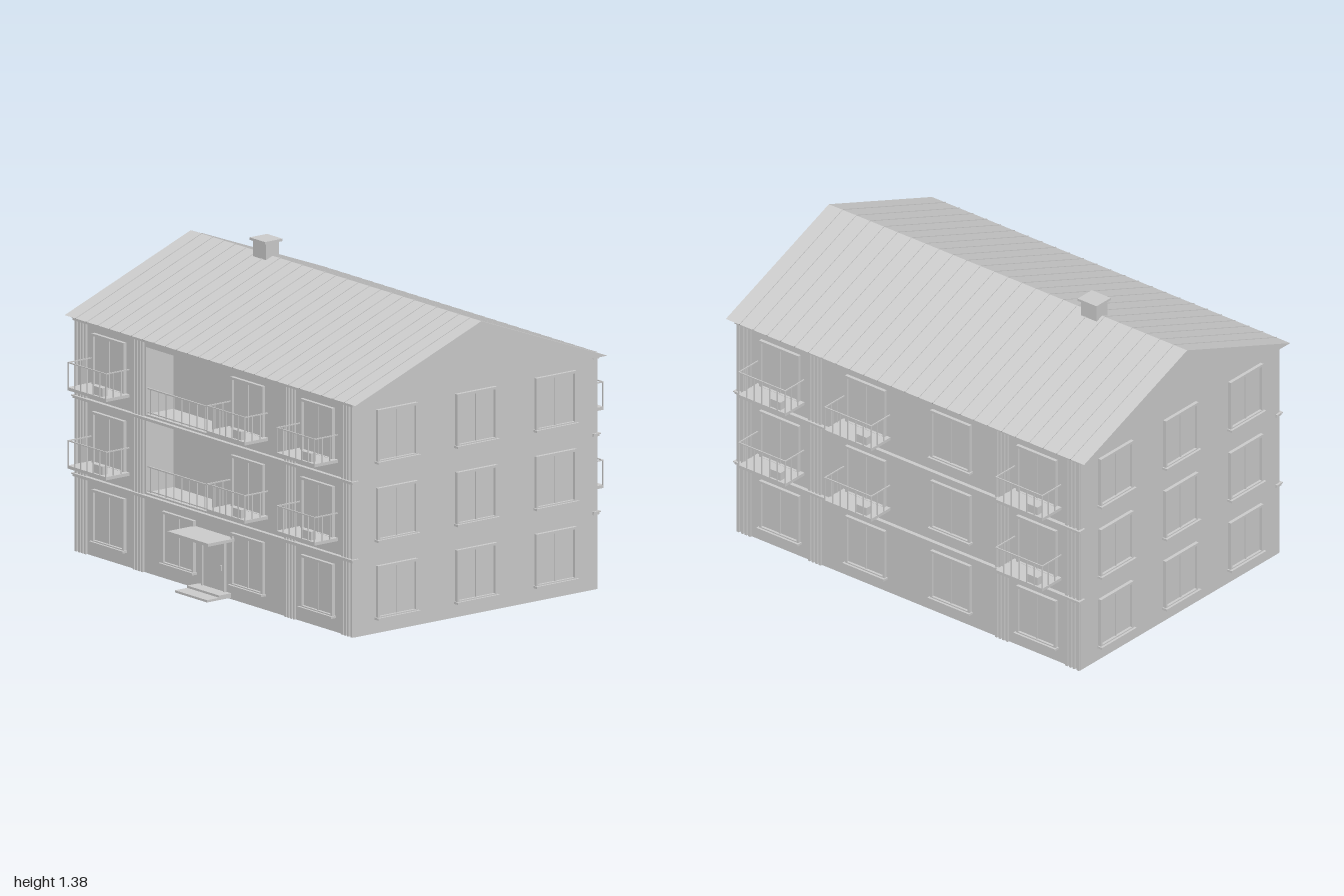
import * as THREE from 'three';

const W = 0.957, D = 0.665, ZC = -0.01;          // half width, half depth, centre of the plan
const EAVE = 1.04, RIDGE = 1.305;
const FLOORS = [0.065, 0.41, 0.757];             // window sill heights
const LOGGIA = { x0: -0.475, x1: -0.01, depth: 0.15 };

export function createModel() {
  const model = new THREE.Group();
  const grey = new THREE.MeshStandardMaterial({ color: 0xcccccc });
  grey.name = 'plain grey';

  const mesh = (parent, name, geometry) => {
    const m = new THREE.Mesh(geometry, grey);
    m.name = name;
    parent.add(m);
    return m;
  };
  // Box given by its minimum and maximum corners
  const box = (parent, name, x0, x1, y0, y1, z0, z1) => {
    const m = mesh(parent, name, new THREE.BoxGeometry(x1 - x0, y1 - y0, z1 - z0));
    m.position.set((x0 + x1) / 2, (y0 + y1) / 2, (z0 + z1) / 2);
    return m;
  };
  const group = (parent, name, x = 0, y = 0, z = 0, turn = 0) => {
    const g = new THREE.Group();
    g.name = name;
    g.position.set(x, y, z);
    g.rotation.y = turn;
    parent.add(g);
    return g;
  };

  // Two-leaf window, base at y = 0, wall at z = 0, facing +z
  const addWindow = (parent, x, y, z, sill = true) => {
    const g = group(parent, 'window', x, y, z);
    const w = 0.11, h = 0.235, t = 0.011;
    box(g, 'windowPane', -w, w, 0, h, -0.005, 0.004);
    for (const s of [-1, 1]) {
      const a = s * w, b = s * (w - t);
      box(g, 'windowJamb', Math.min(a, b), Math.max(a, b), 0, h, 0, 0.016);
    }
    box(g, 'windowHead', -w, w, h - t, h, 0, 0.016);
    box(g, 'windowFoot', -w, w, 0, t, 0, 0.016);
    box(g, 'windowMullion', -0.003, 0.003, t, h - t, 0, 0.009);
    if (sill) box(g, 'windowSill', -w - 0.006, w + 0.006, -0.004, 0.006, 0, 0.027);
  };

  // Railed balcony with a small cooling unit
  const addBalcony = (parent, x, y) => {
    const g = group(parent, 'balcony', x, y, D);
    const w = 0.131, d = 0.13, top = 0.122, r = 0.0022;
    box(g, 'balconySlab', -w, w, -0.004, 0.01, 0, d);
    box(g, 'frontRail', -w, w, top - 0.005, top, d - 0.005, d);
    for (let i = 0; i <= 6; i++) {
      const px = -w + r + (2 * w - 2 * r) * i / 6;
      box(g, 'baluster', px - r, px + r, 0.01, top, d - 2 * r, d);
    }
    for (const s of [-1, 1]) {
      const px = s * (w - r);
      box(g, 'sideRail', px - r, px + r, top - 0.005, top, 0, d);
      for (const pz of [0.043, 0.086])
        box(g, 'sideBaluster', px - r, px + r, 0.01, top, pz - r, pz + r);
    }
    box(g, 'coolingUnit', 0.035, 0.1, 0.012, 0.05, d - 0.033, d - 0.006);
  };

  // Main walls: full ground floor, notched plan above for the loggias
  const walls = group(model, 'walls', 0, 0, ZC);
  box(walls, 'groundFloor', -W, W, 0, 0.345, -D, D);
  const plan = new THREE.Shape([
    [-W, D], [-W, -D], [W, -D], [W, D],
    [LOGGIA.x1, D], [LOGGIA.x1, D - LOGGIA.depth], [LOGGIA.x0, D - LOGGIA.depth], [LOGGIA.x0, D],
  ].map(([x, z]) => new THREE.Vector2(x, -z)));
  const upper = mesh(walls, 'upperFloors',
    new THREE.ExtrudeGeometry(plan, { depth: EAVE - 0.345, bevelEnabled: false }));
  upper.rotation.x = -Math.PI / 2;
  upper.position.y = 0.345;

  // Loggia slab, lintels and railings
  const { x0, x1, depth } = LOGGIA;
  const loggias = group(walls, 'loggias');
  box(loggias, 'loggiaSlab', x0, x1, 0.675, 0.702, D - depth, D);
  box(loggias, 'loggiaFloor', x0, x1, 0.345, 0.355, D - depth, D);
  box(loggias, 'loggiaLintel', x0, x1, 1.0, EAVE, D - 0.03, D);
  for (const y of [0.355, 0.702]) {
    box(loggias, 'loggiaRail', x0, x1, y + 0.11, y + 0.116, D - 0.014, D - 0.008);
    box(loggias, 'loggiaFootRail', x0, x1, y + 0.004, y + 0.009, D - 0.013, D - 0.009);
    for (let i = 0; i <= 8; i++) {
      const px = x0 + 0.02 + (x1 - x0 - 0.04) * i / 8;
      box(loggias, 'loggiaBaluster', px - 0.002, px + 0.002, y, y + 0.11, D - 0.013, D - 0.009);
    }
  }

  // Long facades: windows, balconies, ribs and belt courses
  for (const front of [true, false]) {
    const side = front ? 1 : -1;
    const f = group(model, front ? 'frontFacade' : 'backFacade', 0, 0, ZC, front ? 0 : Math.PI);
    FLOORS.forEach((y, level) => {
      for (const wx of [-0.72, -0.24, 0.235, 0.715]) {
        const openBay = wx === -0.24;
        if (front && openBay && level > 0) continue;
        const balcony = level > 0 && !openBay;
        addWindow(f, side * wx, y, D, !balcony);
        if (balcony) addBalcony(f, side * wx, y);
      }
    });
    for (const s of [-1, 1])
      for (const rx of [0.492, 0.512, 0.532, 0.552, 0.885, 0.905, 0.925, 0.949])
        box(f, 'facadeRib', s * rx - 0.006, s * rx + 0.006, 0, EAVE, D, D + 0.009);
    for (const [y0, y1] of [[0.332, 0.347], [0.679, 0.693], [1.024, 1.04]]) {
      box(f, 'beltCourse', -0.963, 0.963, y0, y1, D - 0.02, D + 0.014);
      box(f, 'beltCap', -0.967, 0.967, y1 - 0.005, y1, D - 0.02, D + 0.019);
    }
  }

  // End walls: three windows on every floor
  for (const s of [-1, 1]) {
    const e = group(model, s > 0 ? 'leftEndWall' : 'rightEndWall', 0, 0, ZC, s * Math.PI / 2);
    for (const y of FLOORS)
      for (const wx of [-0.436, 0, 0.436]) addWindow(e, wx, y, W);
  }

  // Entrance: door with frame, canopy and steps
  const entrance = group(model, 'entrance', 0, 0, ZC + D);
  box(entrance, 'door', -0.072, 0.072, 0.02, 0.235, 0, 0.006);
  for (const s of [-1, 1])
    box(entrance, 'doorJamb', s * 0.076 - 0.004, s * 0.076 + 0.004, 0.02, 0.243, 0, 0.014);
  box(entrance, 'doorHead', -0.08, 0.08, 0.235, 0.243, 0, 0.014);
  box(entrance, 'doorHandle', 0.05, 0.056, 0.115, 0.14, 0.006, 0.012);
  box(entrance, 'canopy', -0.14, 0.14, 0.262, 0.275, 0, 0.15);
  box(entrance, 'upperStep', -0.11, 0.11, 0.016, 0.026, 0, 0.065);
  box(entrance, 'lowerStep', -0.11, 0.11, 0.006, 0.016, 0, 0.132);

  // Gabled roof with standing seams
  const roof = group(model, 'roof', 0, 0, ZC);
  const half = 0.693;
  const gable = new THREE.Shape([
    new THREE.Vector2(-half, EAVE), new THREE.Vector2(half, EAVE), new THREE.Vector2(0, RIDGE),
  ]);
  const prism = mesh(roof, 'roofBody', new THREE.ExtrudeGeometry(gable, { depth: 2, bevelEnabled: false }));
  prism.rotation.y = Math.PI / 2;
  prism.position.x = -1;
  const slope = Math.atan2(RIDGE - EAVE, half), run = Math.hypot(RIDGE - EAVE, half);
  for (const s of [-1, 1])
    for (let i = 0; i < 25; i++) {
      const seam = mesh(roof, 'roofSeam', new THREE.BoxGeometry(0.004, 0.006, run));
      seam.position.set(-0.924 + i * 0.077, (EAVE + RIDGE) / 2, s * half / 2);
      seam.rotation.x = s * slope;
    }

  // Chimney
  const chimney = group(model, 'chimney', -0.481, 0, ZC);
  box(chimney, 'chimneyStack', -0.044, 0.044, 1.25, 1.366, -0.036, 0.036);
  box(chimney, 'chimneyCap', -0.053, 0.053, 1.364, 1.375, -0.048, 0.048);

  return model;
}
